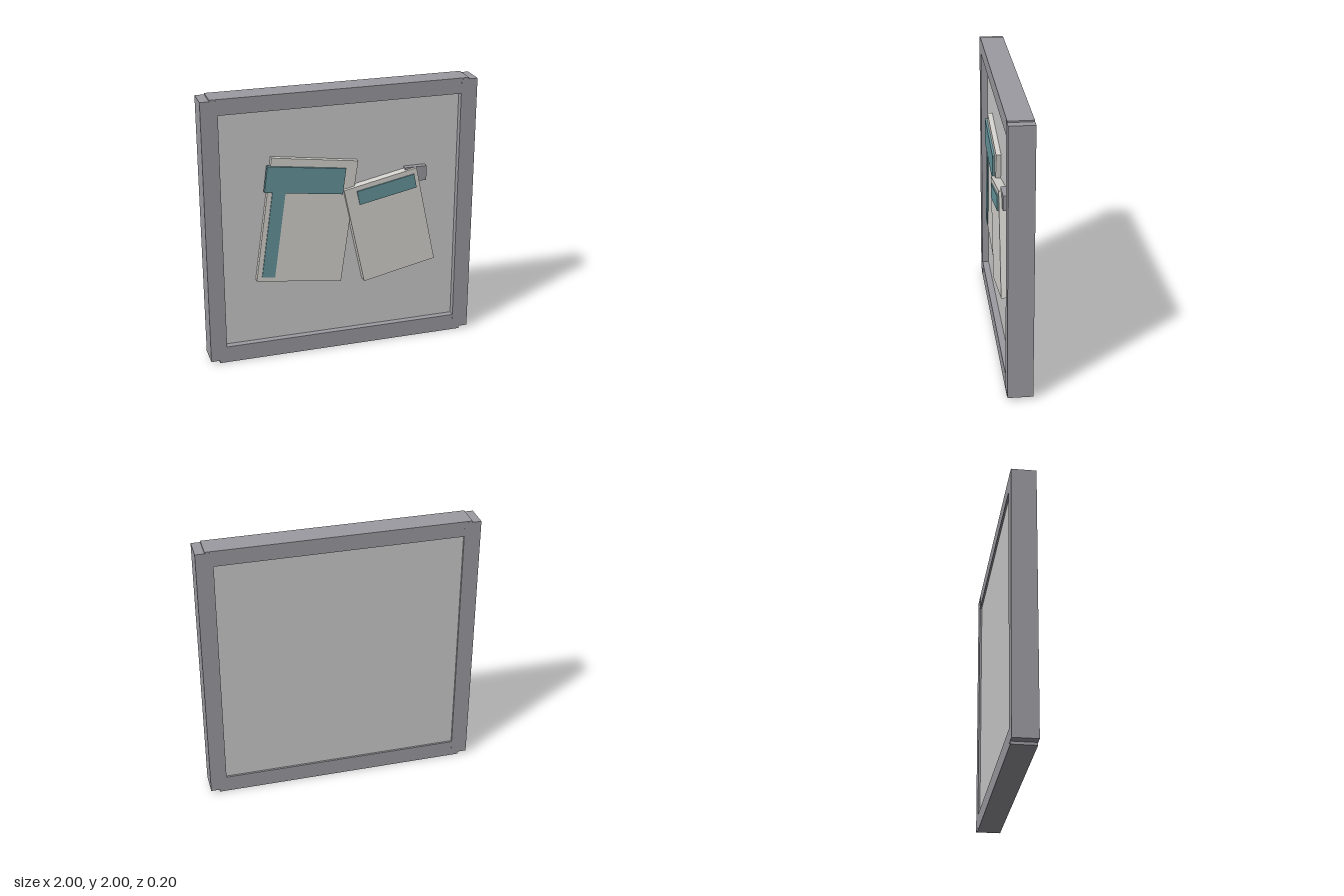
import * as THREE from 'three';

const material = (color) => new THREE.MeshStandardMaterial({ color });

// Box given by its centre, size, z range and in-plane rotation in degrees
function slab(name, mat, [x, y], [w, h], [z0, z1], degrees = 0) {
  const mesh = new THREE.Mesh(new THREE.BoxGeometry(w, h, z1 - z0), mat);
  mesh.name = name;
  mesh.position.set(x, y, (z0 + z1) / 2);
  mesh.rotation.z = THREE.MathUtils.degToRad(degrees);
  return mesh;
}

export function createModel() {
  const model = new THREE.Group();
  model.name = 'framedPanel';
  const frameGrey = material(0x9b9ba1);
  const panelGrey = material(0xcccccc);
  const paper = material(0xd6d4cf);
  const teal = material(0x66959c);

  // Frame: two stiles, with rails slightly proud at top and bottom
  const frame = new THREE.Group();
  frame.name = 'frame';
  for (const side of [-1, 1]) {
    frame.add(slab(side > 0 ? 'leftStile' : 'rightStile', frameGrey,
      [side * 0.94, 1.005], [0.12, 1.97], [-0.1, 0.077]));
  }
  frame.add(slab('topRail', frameGrey, [0, 1.943], [1.87, 0.114], [-0.099, 0.076]));
  frame.add(slab('bottomRail', frameGrey, [0, 0.0625], [1.87, 0.125], [-0.099, 0.076]));
  model.add(frame);

  // Backing panel, recessed more at the front than at the back
  model.add(slab('panel', panelGrey, [0, 1.005], [1.8, 1.8], [-0.085, 0.028]));

  // Large sheet with two crossing strips
  const largeSheet = new THREE.Group();
  largeSheet.name = 'largeSheet';
  largeSheet.add(
    slab('largePaper', paper, [-0.262, 1.035], [0.637, 0.935], [0.025, 0.064], -7.9),
    slab('wideStrip', teal, [-0.274, 1.353], [0.577, 0.193], [0.05, 0.08], -7.5),
    slab('longStrip', teal, [-0.507, 0.985], [0.095, 0.7], [0.05, 0.072], -7.9)
  );
  model.add(largeSheet);

  // Small sheet with one strip
  const smallSheet = new THREE.Group();
  smallSheet.name = 'smallSheet';
  smallSheet.add(
    slab('smallPaper', paper, [0.356, 0.941], [0.557, 0.748], [0.028, 0.09], 12),
    slab('shortStrip', teal, [0.326, 1.226], [0.438, 0.106], [0.07, 0.1], 11.4)
  );
  model.add(smallSheet);

  // Clip behind the corner of the small sheet
  model.add(slab('clip', frameGrey, [0.553, 1.31], [0.163, 0.11], [0.025, 0.07]));

  return model;
}
